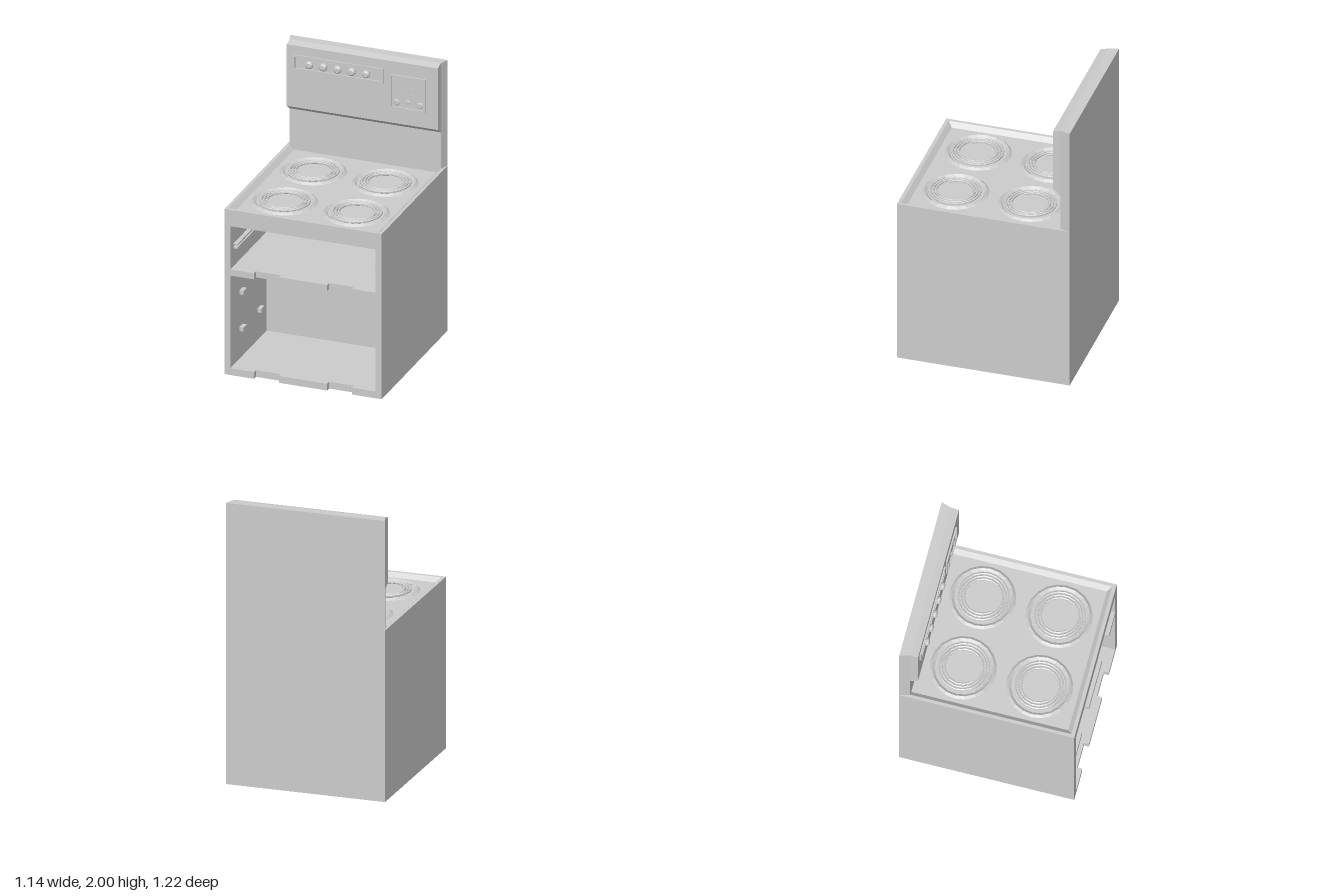
import * as THREE from 'three';

const grey = new THREE.MeshStandardMaterial({ color: 0xcccccc, flatShading: true, side: THREE.DoubleSide });

function add(parent, name, geometry, x = 0, y = 0, z = 0) {
  const mesh = new THREE.Mesh(geometry, grey);
  mesh.name = name;
  mesh.position.set(x, y, z);
  parent.add(mesh);
  return mesh;
}

// Box given by its limits on each axis
function block(parent, name, x0, x1, y0, y1, z0, z1) {
  return add(parent, name, new THREE.BoxGeometry(x1 - x0, y1 - y0, z1 - z0),
    (x0 + x1) / 2, (y0 + y1) / 2, (z0 + z1) / 2);
}

const points = list => list.map(([a, b]) => new THREE.Vector2(a, b));

function rect(x0, x1, y0, y1) {
  return points([[x0, y0], [x1, y0], [x1, y1], [x0, y1]]);
}

function extrude(outline, depth, holes = []) {
  const shape = new THREE.Shape(outline);
  holes.forEach(h => shape.holes.push(new THREE.Path(h)));
  return new THREE.ExtrudeGeometry(shape, { depth, bevelEnabled: false });
}

// Flat spiral, wound inward from the outer end
class Spiral extends THREE.Curve {
  getPoint(t, target = new THREE.Vector3()) {
    const angle = 2.4 - t * 6 * Math.PI, r = 0.18 - 0.06 * t;
    return target.set(r * Math.cos(angle), 0, r * Math.sin(angle));
  }
}

const W = 0.57, D = 0.61, IN = 0.527, FLOOR = 1.19, BACK = -0.06, FRONT = 0.575;

function createBody() {
  const body = new THREE.Group();
  body.name = 'body';
  // Carcass with an upper and a lower compartment
  const holes = [rect(-IN, IN, 0.05, 0.735), rect(-IN, IN, 0.78, 1.1)];
  add(body, 'carcass', extrude(rect(-W, W, 0, FLOOR), FRONT - BACK, holes), 0, 0, BACK);
  block(body, 'rearBody', -W, W, 0, FLOOR, -D, BACK);

  // Front frame, with hinge notches in its two lower rails
  block(body, 'topRail', -IN, IN, 1.1, FLOOR, FRONT, D);
  for (const s of [-1, 1]) {
    block(body, 'frontPost', Math.min(s * W, s * IN), Math.max(s * W, s * IN), 0, FLOOR, FRONT, D);
  }
  for (const [y0, y1] of [[0, 0.05], [0.735, 0.78]]) {
    for (const [x0, x1] of [[-IN, -0.355], [-0.175, 0.175], [0.355, IN]]) {
      block(body, 'notchedRail', x0, x1, y0, y1, FRONT, D);
    }
  }

  // Rack supports on the inner side walls
  for (const s of [-1, 1]) {
    const xs = [s * IN, s * 0.497].sort((a, b) => a - b);
    for (const y of [0.27, 0.54]) for (const z of [0.08, 0.41]) {
      block(body, 'rackSupport', ...xs, y - 0.015, y + 0.015, z - 0.03, z + 0.03);
    }
    for (const y of [0.917, 0.942]) {
      block(body, 'grillRail', ...xs, y - 0.006, y + 0.006, 0, 0.55);
    }
  }
  return body;
}

// Raised rim around three sides of the cooktop, sloping in to its floor
function rimGeometry() {
  const sections = [[W, D, FLOOR], [W, D, 1.22], [0.547, 0.585, 1.22], [0.515, 0.555, FLOOR]];
  const pos = [], index = [];
  for (const [x, z, y] of sections) pos.push(-x, y, -D, -x, y, z, x, y, z, x, y, -D);
  for (let i = 0; i < 3; i++) for (let j = 0; j < 3; j++) {
    const a = i * 4 + j, b = a + 1, c = a + 4, d = a + 5;
    index.push(a, b, d, a, d, c);
  }
  const g = new THREE.BufferGeometry();
  g.setAttribute('position', new THREE.Float32BufferAttribute(pos, 3));
  g.setIndex(index);
  const flat = g.toNonIndexed();
  flat.computeVertexNormals();
  return flat;
}

function createCooktop() {
  const top = new THREE.Group();
  top.name = 'cooktop';
  add(top, 'rim', rimGeometry());
  const ring = new THREE.LatheGeometry(points([[0.228, 0], [0.21, 0.014], [0.192, 0]]), 20);
  const coil = new THREE.TubeGeometry(new Spiral(), 54, 0.009, 6, false);
  for (const x of [-0.26, 0.26]) for (const z of [-0.245, 0.288]) {
    const burner = new THREE.Group();
    burner.name = 'burner';
    burner.position.set(x, FLOOR, z);
    add(burner, 'burnerRing', ring);
    add(burner, 'burnerCoil', coil, 0, 0.012, 0);
    top.add(burner);
  }
  return top;
}

function frame(parent, name, x0, x1, y0, y1, border) {
  const hole = rect(x0 + border, x1 - border, y0 + border, y1 - border);
  add(parent, name, extrude(rect(x0, x1, y0, y1), 0.012, [hole]), 0, 0, -0.486);
}

function knob(parent, name, x, y, r, depth) {
  const profile = points([[r * 0.8, 0], [r * 0.85, depth * 0.35], [r, depth * 0.5],
    [r * 0.9, depth * 0.8], [r * 0.6, depth], [0, depth]]);
  add(parent, name, new THREE.LatheGeometry(profile, 12), x, y, -0.485).rotation.x = Math.PI / 2;
}

function createBackguard() {
  const guard = new THREE.Group();
  guard.name = 'backguard';
  // Tapered upright slab
  const plan = points([[-W, D], [W, D], [0.548, 0.54], [-0.548, 0.54]]);
  const slab = add(guard, 'backPanel', extrude(plan, 2 - FLOOR), 0, FLOOR, 0);
  slab.rotation.x = -Math.PI / 2;
  // Overhanging control housing, profile drawn as (-z, y)
  const side = points([[0.54, 1.49], [0.485, 1.53], [0.485, 1.985], [0.54, 2]]);
  const housing = add(guard, 'controlHousing', extrude(side, 1.096), -0.548, 0, 0);
  housing.rotation.y = Math.PI / 2;

  // Burner controls
  frame(guard, 'knobPanelFrame', -0.5, 0.155, 1.81, 1.92, 0.015);
  for (let i = 0; i < 5; i++) knob(guard, 'burnerKnob', -0.378 + i * 0.103, 1.867, 0.029, 0.036);

  // Clock and timer
  frame(guard, 'clockFrame', 0.205, 0.46, 1.645, 1.89, 0.01);
  for (const x of [0.25, 0.42]) knob(guard, 'timerKnob', x, 1.69, 0.024, 0.012);
  knob(guard, 'clockButton', 0.335, 1.7, 0.015, 0.01);
  const hand = length => extrude(points([[0, -0.025], [0.008, 0], [0.008, length * 0.7],
    [0, length], [-0.008, length * 0.7], [-0.008, 0]]), 0.003);
  add(guard, 'minuteHand', hand(0.065), 0.335, 1.79, -0.485);
  add(guard, 'hourHand', hand(0.045), 0.335, 1.8, -0.484).rotation.z = -Math.PI / 2;
  return guard;
}

export function createModel() {
  const model = new THREE.Group();
  model.name = 'cooker';
  model.add(createBody(), createCooktop(), createBackguard());
  return model;
}
